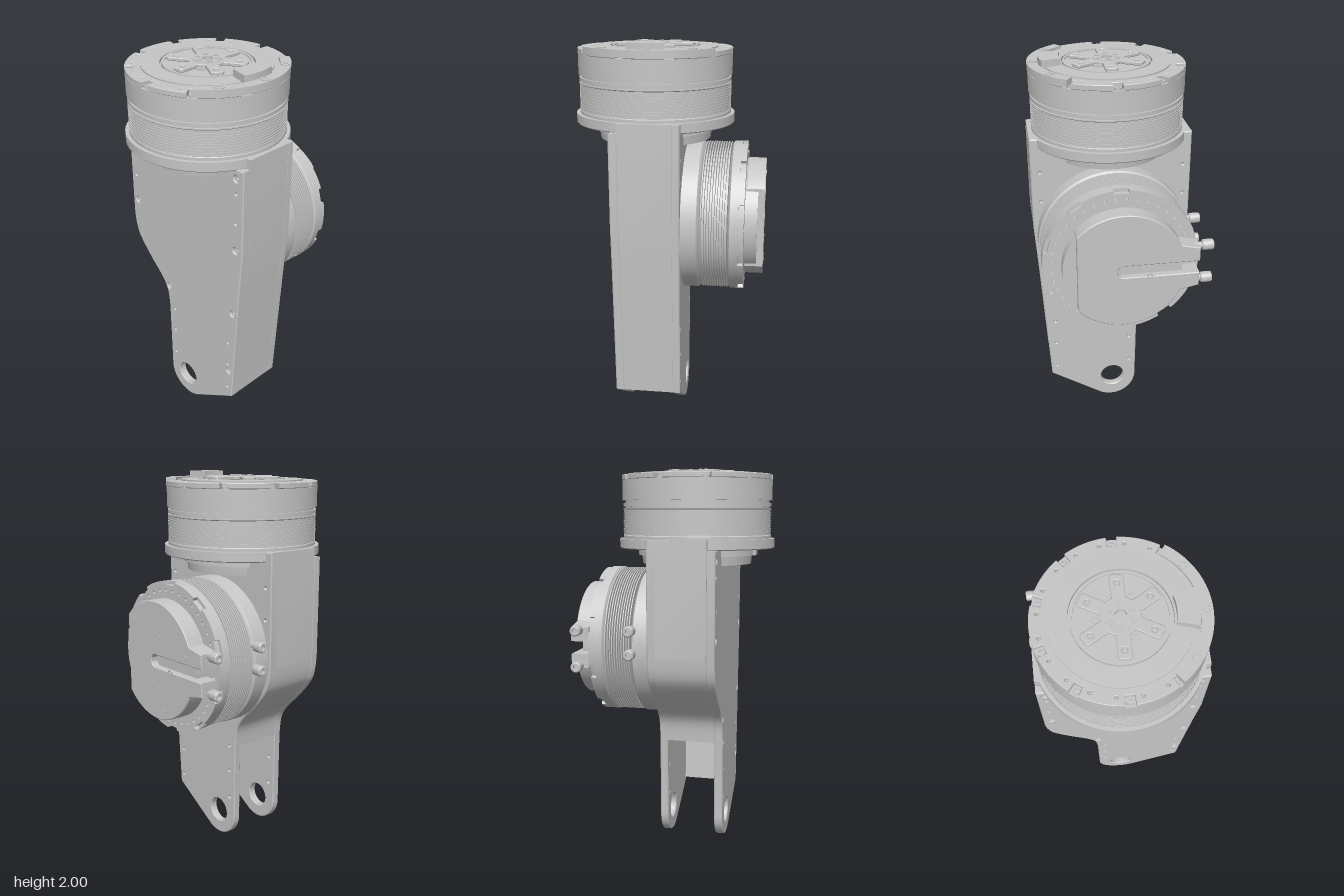
import * as THREE from 'three';
import { toCreasedNormals } from 'three/addons/utils/BufferGeometryUtils.js';

const grey = new THREE.MeshStandardMaterial({ color: 0xc6c6c6 });
grey.name = 'machined grey';
const CX = 0.018; // shared centre line of both drive units
const V = (p) => p.map(([x, y]) => new THREE.Vector2(x, y));

function add(parent, name, geo, x = 0, y = 0, z = 0) {
  const m = new THREE.Mesh(geo, grey);
  m.name = name;
  m.position.set(x, y, z);
  parent.add(m);
  return m;
}
const turned = (pts, seg = 64) => toCreasedNormals(new THREE.LatheGeometry(V(pts), seg), 0.6);

// Extrudes along +z; "upright" turns the extrusion to +y
function slab(shape, depth, bevel = 0, seg = 12) {
  const g = new THREE.ExtrudeGeometry(shape, {
    depth: depth - 2 * bevel, curveSegments: seg, bevelEnabled: bevel > 0,
    bevelThickness: bevel, bevelSize: bevel, bevelOffset: -bevel, bevelSegments: 1,
  });
  return toCreasedNormals(g.translate(0, 0, bevel), 0.5);
}
const upright = (shape, depth, bevel, seg) => slab(shape, depth, bevel, seg).rotateX(-Math.PI / 2);
const hole = (x, y, r) => new THREE.Path().absarc(x, y, r, 0, Math.PI * 2, true);
const polar = (r, a) => [r * Math.cos(a), r * Math.sin(a)];

// Socket-head screw, axis +y, unit radius
const screwGeo = turned([[1, 0], [1, 0.6], [0.5, 0.6], [0.5, 0.1], [0, 0.1]], 16);
function screw(parent, x, y, z, r) {
  const s = add(parent, 'screw', screwGeo, x, y, z);
  s.scale.setScalar(r);
  return s;
}

// Profile points of thin cooling fins
function fins(y0, y1, n, rIn, rOut) {
  const out = [], step = (y1 - y0) / n;
  for (let i = 0; i < n; i++) {
    const a = y0 + (i + 0.3) * step, b = a + step * 0.4;
    out.push([rIn, a], [rOut, a], [rOut, b], [rIn, b]);
  }
  return out;
}

// Ring with rectangular notches in its rim and a circle of small holes
function notchedRing(R, rNotch, rInner, n, half, start, nHoles, rHoles) {
  const s = new THREE.Shape(), step = Math.PI * 2 / n;
  for (let i = 0; i < n; i++) {
    const a = start + i * step;
    s.absarc(0, 0, rNotch, a - half, a + half, false);
    s.absarc(0, 0, R, a + half, a + step - half, false);
  }
  s.closePath();
  s.holes.push(hole(0, 0, rInner));
  for (let i = 0; i < nHoles; i++) {
    const a = start + (i + 0.5) * Math.PI * 2 / nHoles;
    s.holes.push(hole(...polar(rHoles, a), 0.008));
  }
  return s;
}

function sector(r0, r1, a0, a1) {
  const s = new THREE.Shape();
  s.absarc(0, 0, r1, a0, a1, false);
  s.absarc(0, 0, r0, a1, a0, true);
  s.closePath();
  return s;
}

// Outline of the arm's two side edges
const leftEdge = [[-0.39, 1.06], [-0.378, 0.98], [-0.35, 0.915], [-0.27, 0.82], [-0.18, 0.73], [-0.138, 0.66], [-0.124, 0.56]];
const rightEdge = [[0.365, 0.195], [0.408, 0.9], [0.426, 1.15]];
const TOP = 1.635;
const screws = [[-0.35, 1.54], [0.38, 1.54], [-0.35, 1.15], [0.38, 1.15], [0.365, 0.76], [-0.12, 0.695], [0.345, 0.365]];
const pins = [[-0.35, 1.46], [0.38, 1.46], [-0.35, 1.3], [0.38, 1.3]];
for (const y of [0.25, 0.41, 0.555]) pins.push([-0.08, y], [0.335, y]);

function plateShape(top, withScrews) {
  const s = new THREE.Shape();
  s.moveTo(-0.39, top);
  s.lineTo(...leftEdge[0]);
  s.splineThru(V(leftEdge.slice(1)));
  s.absarc(0.02, 0.14, 0.138, Math.PI, Math.PI * 1.66, false);
  rightEdge.forEach((p) => s.lineTo(...p));
  s.lineTo(0.426, top);
  s.closePath();
  s.holes.push(hole(0.015, 0.14, 0.066));
  pins.forEach(([x, y]) => s.holes.push(hole(x, y, 0.006)));
  if (withScrews) screws.forEach(([x, y]) => s.holes.push(hole(x, y, 0.017)));
  return s;
}

function wallShape(edge, topX, t) {
  const line = [...edge, [topX, TOP]];
  return new THREE.Shape(V([...line, ...line.map(([x, y]) => [x + t, y]).reverse()]));
}

function buildArm(root) {
  const arm = new THREE.Group();
  arm.name = 'armHousing';
  root.add(arm);
  add(arm, 'frontPlate', slab(plateShape(1.588, true), 0.045, 0.005, 20), 0, 0, 0.21);
  add(arm, 'backPlate', slab(plateShape(TOP, false), 0.042, 0.005, 20), 0, 0, -0.087);
  add(arm, 'leftWall', slab(wallShape(rightEdge, 0.426, -0.04), 0.262), -0.001, 0, -0.05);
  const curve = new THREE.SplineCurve(V(leftEdge)).getPoints(24).map((p) => [p.x, p.y]).reverse();
  add(arm, 'rightWall', slab(wallShape(curve, -0.39, 0.04), 0.262), 0.001, 0, -0.05);
  for (const [x, y] of screws) screw(arm, x, y, 0.232, 0.018).rotation.x = Math.PI / 2;
}

// Upper drive unit, output face upwards
function buildTopDrive(root) {
  const g = new THREE.Group();
  g.name = 'topDrive';
  g.position.set(CX, 0, 0.083);
  root.add(g);
  add(g, 'driveBody', turned([
    [0, 1.505], [0.285, 1.505], [0.29, 1.55], [0.307, 1.55], [0.307, 1.585], [0.4, 1.585], [0.405, 1.59],
    [0.405, 1.635], [0.386, 1.635], [0.386, 1.65], ...fins(1.65, 1.785, 10, 0.382, 0.386), [0.386, 1.785],
    [0.386, 1.79], [0.376, 1.79], [0.376, 1.797], [0.386, 1.797], [0.386, 1.815],
    [0.376, 1.815], [0.376, 1.828], [0.39, 1.828], [0.39, 1.93], [0.31, 1.93],
  ]));
  add(g, 'notchedRim', upright(notchedRing(0.39, 0.345, 0.3, 10, 0.06, Math.PI / 2, 20, 0.355), 0.028, 0.003), 0, 1.93, 0);
  add(g, 'outputFace', turned([
    [0.316, 1.94], [0.316, 1.965], [0.226, 1.967], [0.226, 1.95], [0.217, 1.95], [0.217, 1.968], [0.205, 1.968], [0.205, 1.962], [0, 1.962],
  ]));

  // Six-armed output star with its hub
  const pts = [], star = new THREE.Shape();
  star.holes.push(hole(0, 0, 0.066));
  for (let i = 0; i < 6; i++) {
    const a = i * Math.PI / 3 + Math.PI / 2;
    const at = (u, v) => [u * Math.cos(a) - v * Math.sin(a), u * Math.sin(a) + v * Math.cos(a)];
    pts.push(at(0.085, -0.03), at(0.185, -0.032), at(0.195, -0.022), at(0.195, 0.022), at(0.185, 0.032), at(0.085, 0.03));
    star.holes.push(hole(...at(0.155, 0), 0.013));
    const [hx, hz] = polar(0.052, a), [px, pz] = polar(0.108, a + Math.PI / 6);
    screw(g, hx, 1.979, hz, 0.012);
    if (i % 2) screw(g, px, 1.956, pz, 0.02);
  }
  star.setFromPoints(V(pts));
  add(g, 'outputStar', upright(star, 0.017, 0.003), 0, 1.962, 0);
  add(g, 'outputHub', turned([[0.07, 1.965], [0.07, 1.982], [0.027, 1.982], [0.027, 1.964], [0, 1.964]], 32));

  // Raised sensor block and its curved base on the rim
  add(g, 'rimSegment', upright(sector(0.34, 0.392, -0.95, 0.95), 0.036, 0, 24), 0, 1.935, 0);
  add(g, 'sensorBlock', upright(sector(0.236, 0.336, -0.27, 0.27), 0.045), 0, 1.955, 0);
  for (let i = 0; i < 10; i++) {
    const a = Math.PI / 2 + i * Math.PI / 5, [x, z] = polar(0.364, a);
    if (Math.cos(a) < 0.9) screw(g, x, 1.93, z, 0.018);
  }
  for (const a of [-0.63, 0, 0.63]) {
    const [x, z] = polar(0.365, a);
    screw(g, x, 1.962, z, 0.022);
  }
  add(g, 'frontSocket', new THREE.BoxGeometry(0.09, 0.034, 0.03), 0, 1.567, 0.3);
}

// Rear drive unit, axis pointing backwards
function buildRearDrive(root) {
  const g = new THREE.Group();
  g.name = 'rearDrive';
  g.position.set(CX, 1.09, 0);
  g.rotation.x = -Math.PI / 2;
  root.add(g);
  add(g, 'driveBody', turned([
    [0.3, 0.05], [0.39, 0.05], [0.39, 0.165], [0.378, 0.175], ...fins(0.18, 0.318, 11, 0.352, 0.386),
    [0.38, 0.32], [0.39, 0.328], [0.39, 0.37], [0.3, 0.37],
  ]));
  add(g, 'notchedRim', upright(notchedRing(0.39, 0.372, 0.29, 10, 0.1, Math.PI / 2, 40, 0.345), 0.027), 0, 0.37, 0);
  add(g, 'capBase', turned([[0.296, 0.38], [0.296, 0.46], [0, 0.46]]));

  // Cap with a flat side, cable block and slot
  const R = 0.305, h = 0.125, w = 0.032, flat = Math.acos(0.227 / R), b = Math.asin(h / R);
  const s = new THREE.Shape();
  s.absarc(0, 0, R, flat, Math.PI - b, false);
  s.lineTo(-0.373, h - 0.02);
  s.lineTo(-0.373, w);
  s.lineTo(0, w);
  s.absarc(0, 0, w, Math.PI / 2, -Math.PI / 2, true);
  s.lineTo(-0.373, -w);
  s.lineTo(-0.373, -h + 0.02);
  s.absarc(0, 0, R, Math.PI + b, Math.PI * 2 - flat, false);
  s.closePath();
  add(g, 'slottedCap', upright(s, 0.095, 0.004, 32), 0, 0.4, 0);
  for (let i = 0; i < 12; i++) {
    const [x, z] = polar(i % 3 ? 0.255 : 0.13, (i + 0.5) * Math.PI / 6);
    if (x < 0.2) screw(g, x, 0.488, z, 0.015);
  }

  // Cable connectors on the right side: [height offset, depth]
  const plug = turned([[0, -0.06], [0.016, -0.06], [0.016, 0], [0.023, 0], [0.027, 0.006], [0.027, 0.052], [0.022, 0.057], [0.013, 0.057], [0.013, 0.04], [0, 0.04]], 20);
  for (const [z, y] of [[0.095, 0.447], [-0.09, 0.447], [0.1, 0.172], [-0.018, 0.172]]) {
    add(g, 'cableConnector', plug, -0.39, y, z).rotation.z = Math.PI / 2;
  }
}

export function createModel() {
  const root = new THREE.Group();
  root.name = 'roboticJoint';
  buildArm(root);
  buildTopDrive(root);
  buildRearDrive(root);
  return root;
}
